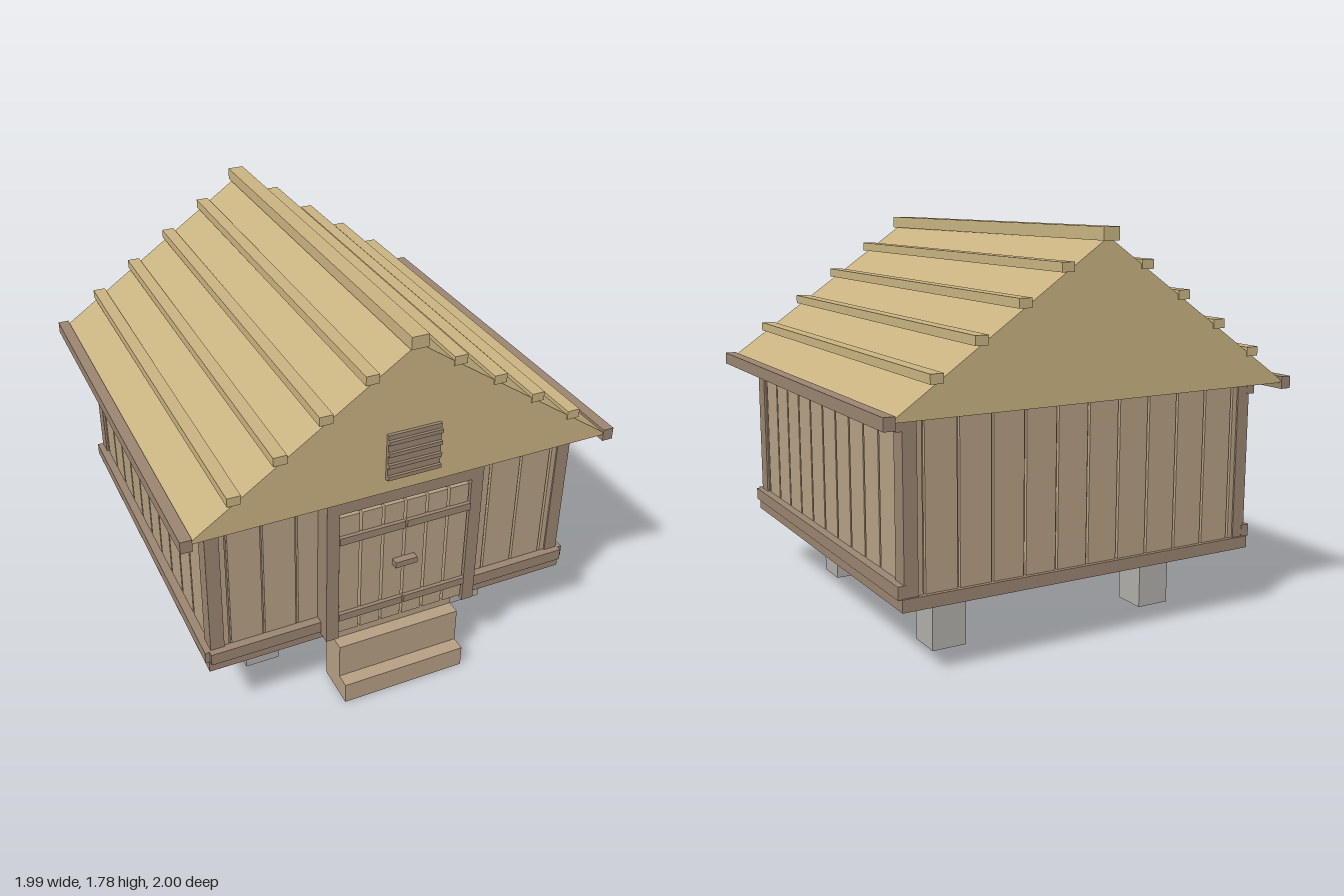
import * as THREE from 'three';

const mat = (color) => new THREE.MeshStandardMaterial({ color, flatShading: true });

export function createModel() {
  const model = new THREE.Group();
  model.name = 'raisedHut';
  const plankMat = mat(0xb59f83), trimMat = mat(0x9a8470), roofMat = mat(0xc8b280);
  const stoneMat = mat(0xb0aeaa), coreMat = mat(0x8f7a65);

  // Box given by its limits on each axis
  function box(name, m, x0, x1, y0, y1, z0, z1, parent = model) {
    const mesh = new THREE.Mesh(new THREE.BoxGeometry(x1 - x0, y1 - y0, z1 - z0), m);
    mesh.position.set((x0 + x1) / 2, (y0 + y1) / 2, (z0 + z1) / 2);
    mesh.name = name;
    parent.add(mesh);
    return mesh;
  }

  // Extruded outline
  function extrude(name, m, points, depth) {
    const shape = new THREE.Shape(points.map(([x, y]) => new THREE.Vector2(x, y)));
    const geo = new THREE.ExtrudeGeometry(shape, { depth, bevelEnabled: false });
    const mesh = new THREE.Mesh(geo, m);
    mesh.name = name;
    model.add(mesh);
    return mesh;
  }

  // Stone piers with caps and wooden pads
  for (const x of [-0.54, 0.54]) {
    for (const z of [-0.545, 0.535]) {
      const pier = new THREE.Group();
      pier.name = 'pier';
      pier.position.set(x, 0, z);
      model.add(pier);
      box('pierColumn', stoneMat, -0.08, 0.08, 0, 0.22, -0.08, 0.08, pier);
      box('pierCap', stoneMat, -0.14, 0.14, 0.22, 0.275, -0.14, 0.14, pier);
      box('pierPad', trimMat, -0.06, 0.06, 0.275, 0.3, -0.06, 0.06, pier);
    }
  }

  // Floor and inner wall core
  box('floor', trimMat, -0.875, 0.875, 0.3, 0.355, -0.88, 0.87);
  box('wallCore', coreMat, -0.835, 0.835, 0.355, 1.085, -0.845, 0.835);

  // Vertical wall planks separated by narrow gaps
  const pitch = 0.154, gap = 0.012, end = 0.835;
  for (let i = -6; i < 6; i++) {
    const a = Math.max(i * pitch + gap / 2, -end);
    const b = Math.min((i + 1) * pitch - gap / 2, end);
    box('frontPlank', plankMat, a, b, 0.355, 1.085, 0.83, 0.852);
    box('backPlank', plankMat, a, b, 0.355, 1.085, -0.862, -0.84);
    for (const s of [-1, 1]) {
      const side = box('sidePlank', plankMat, 0.83, 0.852, 0.355, 1.085, a - 0.005, b - 0.005);
      side.position.x *= s;
    }
  }

  // Corner posts
  for (const s of [-1, 1]) {
    for (const [z0, z1] of [[-0.87, -0.79], [0.78, 0.86]]) {
      box('cornerPost', trimMat, 0.8, 0.862, 0.355, 1.085, z0, z1).position.x *= s;
    }
  }

  // Sill and top rails on the front and both sides
  for (const [y0, y1, name] of [[0.352, 0.408, 'sillRail'], [1.022, 1.075, 'topRail']]) {
    box(name, trimMat, -0.87, 0.87, y0, y1, 0.85, 0.89);
    for (const s of [-1, 1]) {
      box(name, trimMat, 0.85, 0.89, y0, y1, -0.872, 0.868).position.x *= s;
    }
  }

  // Door frame
  for (const s of [-1, 1]) {
    box('doorPost', trimMat, 0.308, 0.365, 0.34, 1.07, 0.85, 0.945).position.x *= s;
  }
  box('doorHeader', trimMat, -0.365, 0.365, 1.008, 1.07, 0.85, 0.945);
  box('doorBacking', coreMat, -0.308, 0.308, 0.355, 1.008, 0.85, 0.9);

  // Double door: planks, cross rails and latch
  for (let i = -3; i < 3; i++) {
    box('doorPlank', plankMat, i * 0.103 + 0.006, (i + 1) * 0.103 - 0.006, 0.365, 0.985, 0.895, 0.935);
  }
  for (const y of [0.46, 0.872]) {
    for (const s of [-1, 1]) {
      box('doorRail', trimMat, 0.004, 0.308, y - 0.018, y + 0.018, 0.93, 0.952).position.x *= s;
    }
  }
  box('doorLatch', trimMat, -0.052, 0.052, 0.663, 0.692, 0.93, 0.968);

  // Stepped entrance stairs, outline drawn in z and y
  const stairs = extrude('entranceSteps', plankMat, [
    [-0.795, 0], [-0.795, 0.355], [-0.872, 0.355], [-0.872, 0.27],
    [-0.935, 0.27], [-0.935, 0.1], [-1, 0.1], [-1, 0],
  ], 0.59);
  stairs.rotation.y = Math.PI / 2;
  stairs.position.x = -0.295;

  // Solid gable roof
  const roof = extrude('roof', roofMat, [[-0.965, 1.082], [0.965, 1.082], [0, 1.745]], 1.95);
  roof.position.z = -0.98;

  // Ridge beam, roof battens and eave boards
  box('ridgeBeam', roofMat, -0.038, 0.038, 1.73, 1.785, -1, 0.985);
  for (const s of [-1, 1]) {
    for (let i = 1; i <= 4; i++) {
      const x = 0.192 * i, y = 1.763 - 0.132 * i;
      box('roofBatten', roofMat, x - 0.029, x + 0.029, y - 0.02, y + 0.02, -0.985, 0.975).position.x *= s;
    }
    box('eaveBoard', trimMat, 0.943, 0.993, 1.055, 1.11, -0.99, 0.978).position.x *= s;
  }

  // Slatted gable vent
  box('ventPanel', trimMat, -0.12, 0.12, 1.15, 1.365, 0.96, 0.985);
  for (let i = 0; i < 4; i++) {
    const y = 1.165 + i * 0.056;
    box('ventSlat', trimMat, -0.12, 0.12, y - 0.008, y + 0.01, 0.98, 0.998);
  }

  return model;
}
